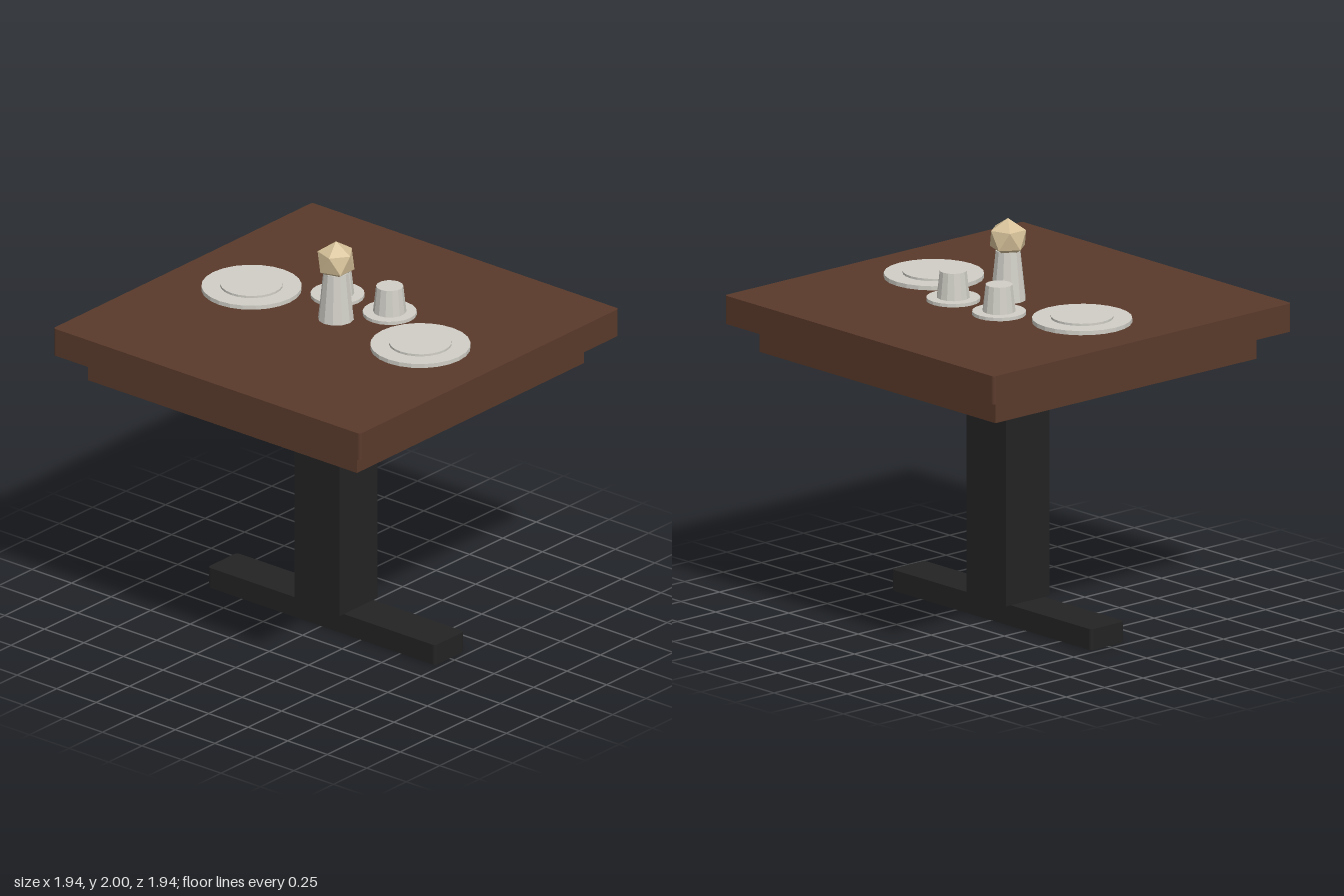
import * as THREE from 'three';

const wood = new THREE.MeshStandardMaterial({ name: 'brown wood', color: 0x5a3a2b });
const iron = new THREE.MeshStandardMaterial({ name: 'black iron', color: 0x232323 });
const china = new THREE.MeshStandardMaterial({ name: 'off-white china', color: 0xd0cec6 });
const tan = new THREE.MeshStandardMaterial({ name: 'tan', color: 0xd6c199 });
for (const m of [china, tan]) m.flatShading = true;

export function createModel() {
  const model = new THREE.Group();
  model.name = 'diningTable';

  function add(parent, name, geometry, material, x = 0, y = 0, z = 0) {
    const mesh = new THREE.Mesh(geometry, material);
    mesh.name = name;
    mesh.position.set(x, y, z);
    parent.add(mesh);
    return mesh;
  }

  // Box standing on y0, sized by its half width and half depth
  function block(name, material, hx, hz, y0, y1) {
    add(model, name, new THREE.BoxGeometry(2 * hx, y1 - y0, 2 * hz), material, 0, (y0 + y1) / 2, 0);
  }

  // Slab with small rounded vertical corners
  function slab(name, material, hx, hz, y0, y1, r) {
    const s = new THREE.Shape();
    s.absarc(hx - r, hz - r, r, 0, Math.PI / 2);
    s.absarc(r - hx, hz - r, r, Math.PI / 2, Math.PI);
    s.absarc(r - hx, r - hz, r, Math.PI, Math.PI * 1.5);
    s.absarc(hx - r, r - hz, r, Math.PI * 1.5, Math.PI * 2);
    const g = new THREE.ExtrudeGeometry(s, { depth: y1 - y0, bevelEnabled: false, curveSegments: 3 });
    g.rotateX(-Math.PI / 2);
    add(model, name, g, material, 0, y0, 0);
  }

  // Round piece standing on y0
  function round(parent, name, rTop, rBottom, y0, y1, sides) {
    const g = new THREE.CylinderGeometry(rTop, rBottom, y1 - y0, sides);
    add(parent, name, g, china, 0, (y0 + y1) / 2, 0);
  }

  // Table
  slab('foot', iron, 0.72, 0.11, 0, 0.105, 0.018);
  block('column', iron, 0.142, 0.142, 0.105, 1.31);
  block('apron', wood, 0.85, 0.85, 1.31, 1.45);
  slab('tableTop', wood, 0.97, 0.97, 1.45, 1.592, 0.015);

  // Place settings, mirrored left and right
  for (const side of [1, -1]) {
    const label = side > 0 ? 'left' : 'right';

    const plate = new THREE.Group();
    plate.name = label + 'Plate';
    plate.position.x = side * 0.534;
    round(plate, 'plateRim', 0.243, 0.243, 1.59, 1.613, 24);
    round(plate, 'plateCentre', 0.152, 0.152, 1.613, 1.624, 24);
    model.add(plate);

    const cup = new THREE.Group();
    cup.name = label + 'Cup';
    cup.position.set(side * 0.165, 0, -0.207);
    round(cup, 'saucer', 0.131, 0.131, 1.59, 1.609, 20);
    round(cup, 'cupBody', 0.066, 0.081, 1.609, 1.742, 14);
    model.add(cup);
  }

  // Vase with a faceted ball standing on one of its corners
  const vase = new THREE.Group();
  vase.name = 'vase';
  round(vase, 'vaseBody', 0.061, 0.088, 1.59, 1.84, 12);
  const ball = add(vase, 'vaseBall', new THREE.IcosahedronGeometry(0.1, 0), tan, 0, 1.9, 0);
  ball.rotation.z = -Math.atan(2 / (1 + Math.sqrt(5)));
  model.add(vase);

  return model;
}
